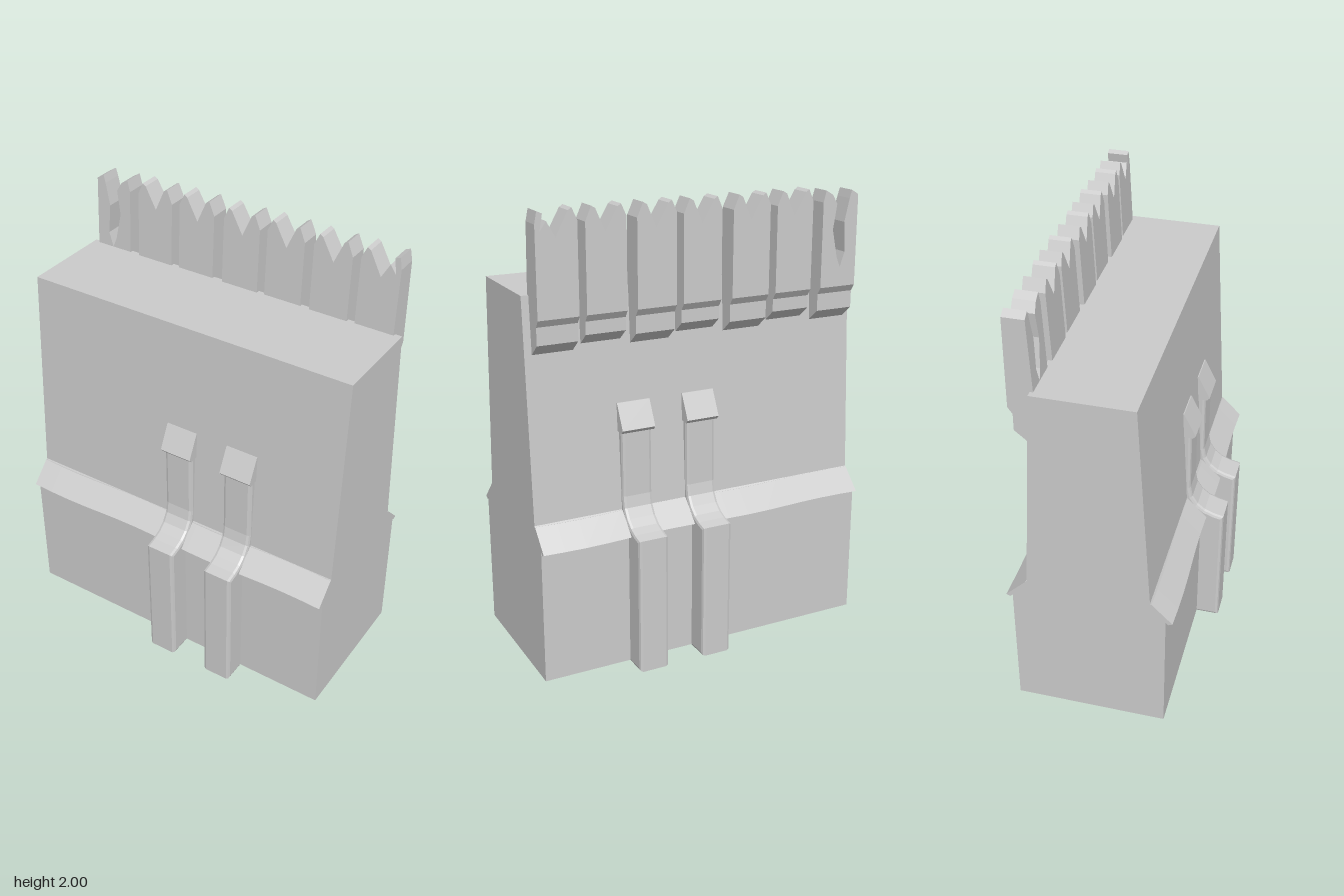
import * as THREE from 'three';

const mat = new THREE.MeshStandardMaterial({ color: 0xcccccc, side: THREE.DoubleSide });

function shapeOf(points) {
  return new THREE.Shape(points.map(([a, b]) => new THREE.Vector2(a, b)));
}

// Extrudes a [z, y] profile along x, centred on x = 0
function extrudeX(points, width, bevel = 0, steps = 1) {
  const g = new THREE.ExtrudeGeometry(shapeOf(points), {
    depth: width - 2 * bevel, steps, bevelEnabled: bevel > 0, bevelThickness: bevel,
    bevelSize: bevel, bevelOffset: -bevel, bevelSegments: 2,
  });
  g.translate(0, 0, bevel - width / 2);
  g.rotateY(-Math.PI / 2);
  return g;
}

function add(parent, name, geometry, x = 0) {
  const m = new THREE.Mesh(geometry, mat);
  m.name = name;
  m.position.x = x;
  parent.add(m);
  return m;
}

// Removes the triangles lying on the floor plane, leaving the shell open below
function openBottom(g, y0) {
  const p = g.attributes.position, keep = [];
  for (let i = 0; i < p.count; i += 3) {
    if ([0, 1, 2].some((k) => p.getY(i + k) > y0 + 1e-4)) {
      for (let k = 0; k < 3; k++) keep.push(p.getX(i + k), p.getY(i + k), p.getZ(i + k));
    }
  }
  const out = new THREE.BufferGeometry();
  out.setAttribute('position', new THREE.Float32BufferAttribute(keep, 3));
  out.computeVertexNormals();
  return out;
}

// Buttresses, their caps and the sloping ledge for one face of the wall
function wallSide(name, buttressX) {
  const side = new THREE.Group();
  side.name = name;

  const ledge = extrudeX([[0.25, 0.68], [0.345, 0.598], [0.362, 0.606], [0.272, 0.697], [0.25, 0.69]], 1.54, 0, 16);
  const p = ledge.attributes.position;
  for (let i = 0; i < p.count; i++) {
    const w = Math.sin(p.getX(i) * 8) * 0.004;
    p.setZ(i, p.getZ(i) + w);
    p.setY(i, p.getY(i) - w * 0.6);
  }
  ledge.computeVertexNormals();
  add(side, 'ledge', ledge);

  const profile = [
    [0.24, 0], [0.437, 0], [0.437, 0.615], [0.39, 0.626], [0.35, 0.642], [0.315, 0.67],
    [0.29, 0.71], [0.28, 0.76], [0.277, 1.09], [0.21, 1.09], [0.21, 0.72], [0.24, 0.6],
  ];
  const cap = [[0.21, 1.165], [0.21, 1.05], [0.285, 1.045], [0.298, 1.06], [0.243, 1.168]];
  for (const x of buttressX) {
    add(side, 'buttress', extrudeX(profile, 0.138, 0.014), x);
    add(side, 'buttressCap', extrudeX(cap, 0.15), x);
  }
  return side;
}

export function createModel() {
  const model = new THREE.Group();
  model.name = 'battlementWall';

  // Tapered wall on a wider base
  const half = [[0.333, 0.01], [0.333, 0.61], [0.266, 0.7], [0.21, 1.655]];
  const outline = [...half, ...half.map(([z, y]) => [-z, y]).reverse()];
  add(model, 'wall', openBottom(extrudeX(outline, 1.54), 0.01));

  // Front and back dressing
  model.add(wallSide('frontDressing', [0.002, 0.303]));
  const back = wallSide('backDressing', [-0.002, -0.305]);
  back.rotation.y = Math.PI;
  model.add(back);

  // Notched planks along the back edge: top outlines run from right to left
  const w = 0.088;
  const notched = [[w, 1.94], [0.062, 2], [0.045, 1.99], [0.004, 1.895], [-0.05, 1.99], [-0.065, 2], [-w, 1.95]];
  const split = [
    [w, 1.94], [0.075, 1.99], [0.042, 1.97], [0.018, 1.93], [0.035, 1.82], [0.01, 1.7], [-0.008, 1.655],
    [-0.03, 1.72], [-0.022, 1.85], [-0.045, 1.95], [-0.055, 1.985], [-w, 1.965],
  ];
  const chipped = [
    [w, 1.945], [0.078, 1.995], [0.055, 1.985], [0.068, 1.915], [0.04, 1.955],
    [0.004, 1.89], [-0.05, 1.99], [-0.065, 2], [-w, 1.95],
  ];
  const centres = [-0.655, -0.43, -0.217, 0.01, 0.22, 0.44, 0.65];
  centres.forEach((x, i) => {
    const plank = new THREE.Group();
    plank.name = 'plank';
    plank.position.set(x, 0, i % 2 ? 0 : -0.004);
    const top = i === 0 ? split : i === 6 ? chipped : notched;
    const body = new THREE.ExtrudeGeometry(shapeOf([[-w, 1.57], [w, 1.57], ...top]), { depth: 0.095, bevelEnabled: false });
    body.translate(0, 0, -0.3);
    // Front face leans out toward its foot
    const p = body.attributes.position;
    for (let k = 0; k < p.count; k++) {
      if (p.getZ(k) > -0.25) p.setZ(k, -0.21 + (2 - p.getY(k)) * 0.05);
    }
    body.computeVertexNormals();
    add(plank, 'plankBody', body);

    // Bevelled foot hooked against the wall
    const drop = i % 2 ? 0.02 : 0;
    add(plank, 'plankFoot', extrudeX(
      [[-0.19, 1.57], [-0.3, 1.57], [-0.28, 1.54], [-0.28, 1.465 + drop], [-0.22, 1.415 + drop], [-0.2, 1.43 + drop]],
      2 * w));
    model.add(plank);
  });
  return model;
}
